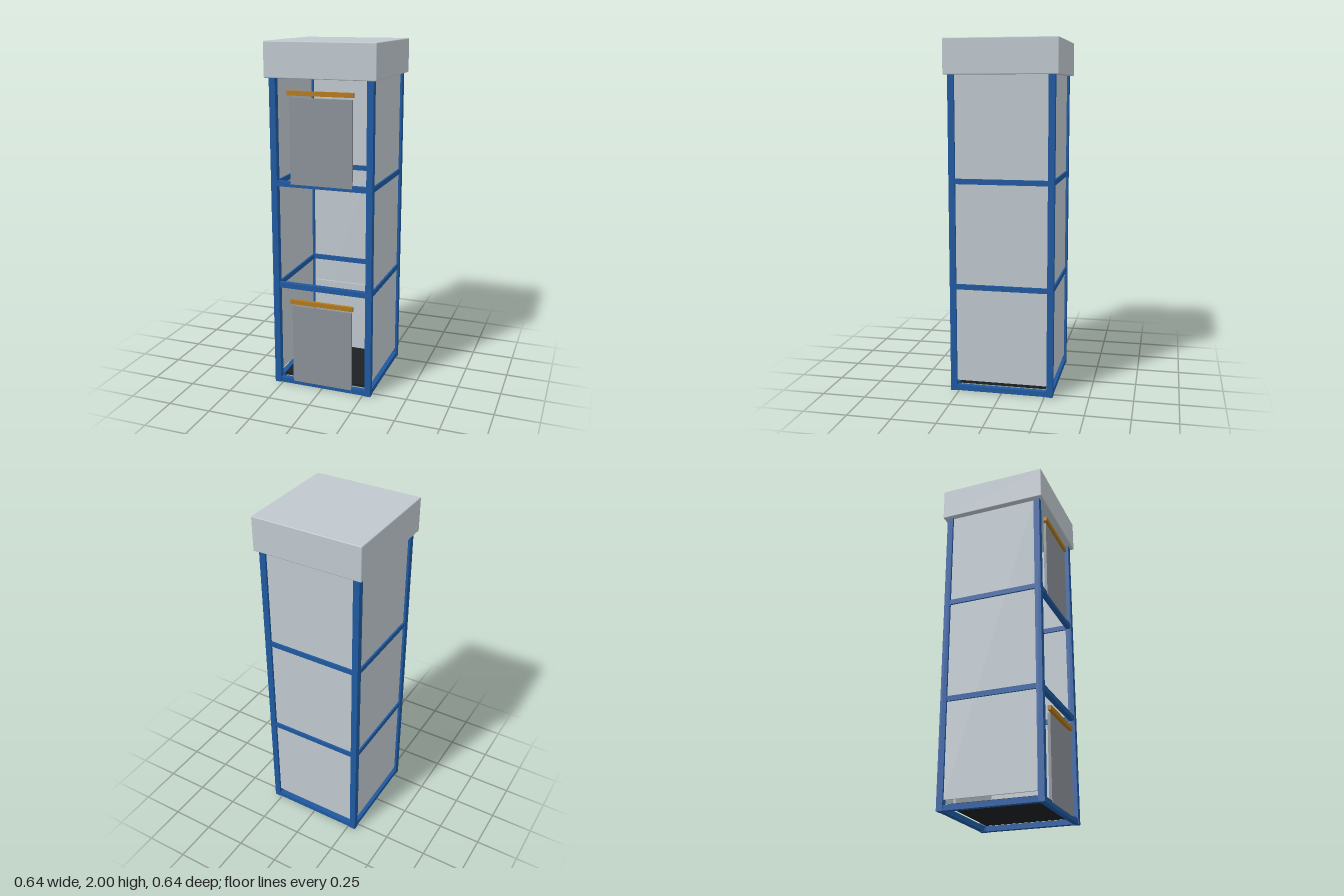
import * as THREE from 'three';
import { RoundedBoxGeometry } from 'three/addons/geometries/RoundedBoxGeometry.js';

const material = (name, color) => {
  const m = new THREE.MeshStandardMaterial({ color });
  m.name = name;
  return m;
};

export function createModel() {
  const blue = material('blue steel', 0x1f59a0);
  const panel = material('pale grey panel', 0xbfc8ce);
  const doorGrey = material('door grey', 0x8b9199);
  const amber = material('amber rail', 0xb27a1c);
  const dark = material('dark floor', 0x1c2024);

  const model = new THREE.Group();
  model.name = 'liftShaft';

  // Box given by its size and centre
  const box = (name, mat, [w, h, d], [x, y, z], parent = model) => {
    const mesh = new THREE.Mesh(new THREE.BoxGeometry(w, h, d), mat);
    mesh.name = name;
    mesh.position.set(x, y, z);
    parent.add(mesh);
    return mesh;
  };

  const C = 0.28;      // centre line of the frame
  const POST = 0.036;
  const TOP = 1.81;

  // Corner posts
  const frame = new THREE.Group();
  frame.name = 'frame';
  model.add(frame);
  for (const sx of [-1, 1])
    for (const sz of [-1, 1])
      box('cornerPost', blue, [POST, TOP, POST], [sx * C, TOP / 2, sz * C], frame);

  // Rings of beams at each floor
  const span = 2 * C - POST;
  for (const y of [0.016, 0.618, 1.22]) {
    for (const s of [-1, 1]) {
      box('crossBeam', blue, [span, 0.03, 0.03], [0, y, s * C], frame);
      box('sideBeam', blue, [0.03, 0.03, span], [s * C, y, 0], frame);
    }
  }

  // Cladding on the back and both sides, open at the front
  const low = 0.06, h = TOP - low, mid = (TOP + low) / 2;
  box('backPanel', panel, [span, h, 0.01], [0, mid, -C]);
  for (const s of [-1, 1])
    box('sidePanel', panel, [0.01, h, span], [s * C, mid, 0]);

  // Lift platform with its upright back plate
  const platform = new THREE.Group();
  platform.name = 'platform';
  model.add(platform);
  box('platformFloor', dark, [0.5, 0.016, 0.5], [0, 0.037, 0], platform);
  box('platformBackPlate', panel, [0.48, 0.437, 0.01], [0, 0.263, -0.22], platform);

  // Landing doors with a rail above each
  for (const y of [0.02, 1.22]) {
    const landing = new THREE.Group();
    landing.name = 'landingDoor';
    landing.position.y = y;
    model.add(landing);
    box('doorLeaf', doorGrey, [0.36, 0.48, 0.016], [0, 0.242, 0.289], landing);
    box('doorRail', amber, [0.38, 0.025, 0.02], [0, 0.507, 0.296], landing);
  }

  // Roof cap with softened edges
  const roof = new THREE.Mesh(new RoundedBoxGeometry(0.638, 0.195, 0.638, 1, 0.005), panel);
  roof.name = 'roof';
  roof.position.y = 1.9025;
  model.add(roof);

  return model;
}
